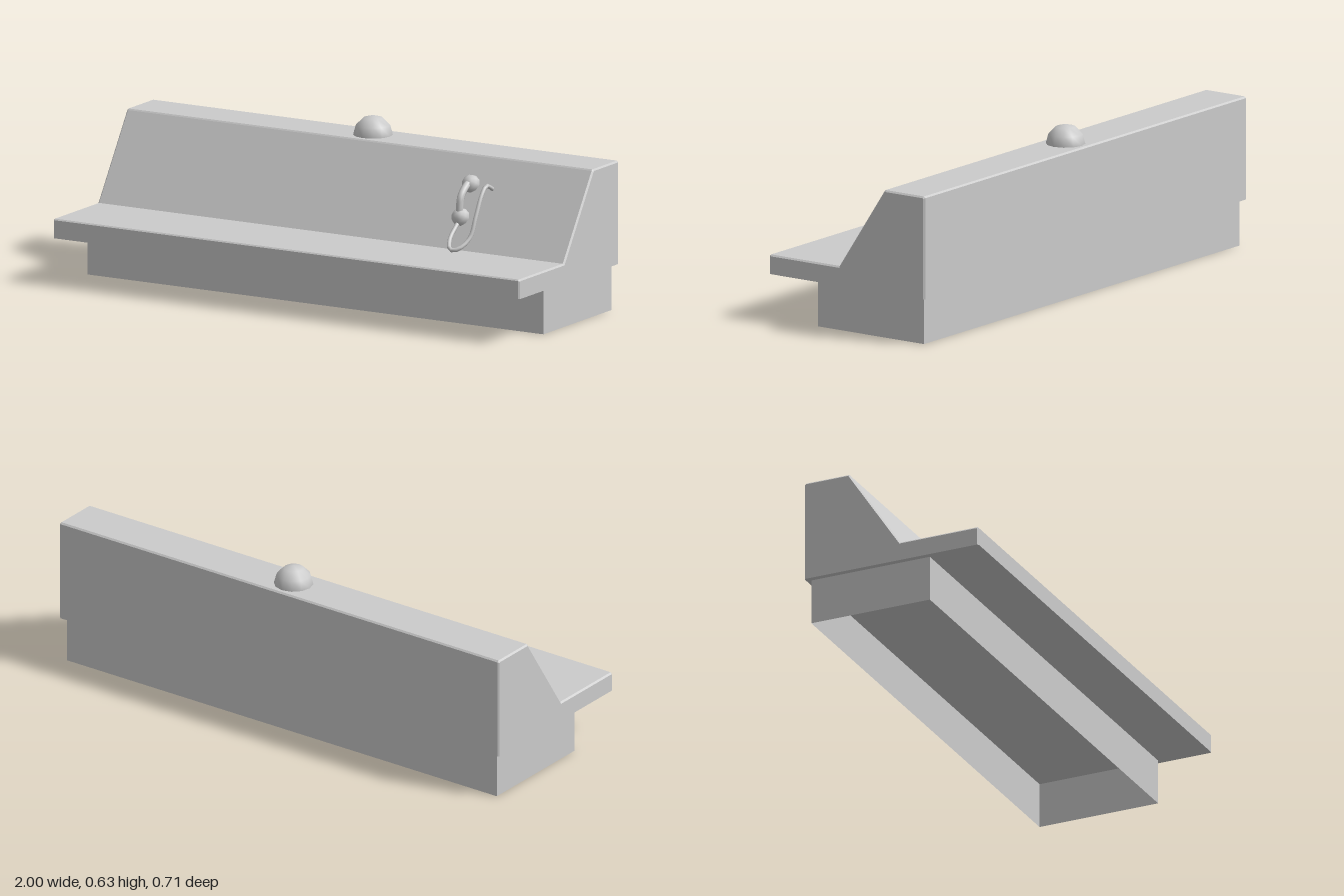
import * as THREE from 'three';

const material = new THREE.MeshStandardMaterial({ color: 0xcccccc });
const thin = new THREE.MeshStandardMaterial({ color: 0xcccccc, side: THREE.DoubleSide });

function add(parent, name, geometry, mat = material) {
  const mesh = new THREE.Mesh(geometry, mat);
  mesh.name = name;
  parent.add(mesh);
  return mesh;
}

const tube = (points, radius, steps) => new THREE.TubeGeometry(
  new THREE.CatmullRomCurve3(points.map(p => new THREE.Vector3(...p))), steps, radius, 8);

const halfSphere = (radius, sides) =>
  new THREE.SphereGeometry(radius, sides, 3, 0, Math.PI * 2, 0, Math.PI / 2);

// Desk cross-section extruded along x, with chamfered ends and a flat bottom
function consoleGeometry() {
  const bevel = 0.006, bottom = 0.173;
  const profile = [
    [0.353, bottom], [0.353, 0.241], [0.348, 0.246], [0.036, 0.246], [-0.168, 0.556],
    [-0.173, 0.561], [-0.347, 0.561], [-0.353, 0.555], [-0.353, bottom],
  ];
  const shape = new THREE.Shape(profile.map(([z, y]) => new THREE.Vector2(-z, y)));
  const geometry = new THREE.ExtrudeGeometry(shape, {
    depth: 2 - 2 * bevel, bevelEnabled: true, bevelSegments: 1,
    bevelSize: bevel, bevelThickness: bevel, bevelOffset: -bevel,
  });
  geometry.translate(0, 0, bevel - 1).rotateY(Math.PI / 2);
  const pos = geometry.attributes.position;
  for (let i = 0; i < pos.count; i++) if (pos.getY(i) < bottom + 0.012) pos.setY(i, bottom);
  geometry.computeVertexNormals();
  return geometry;
}

export function createModel() {
  const model = new THREE.Group();
  model.name = 'controlConsole';

  add(model, 'consoleBody', consoleGeometry());

  // Plinth: four thin walls, open underneath
  const plinth = new THREE.Group();
  plinth.name = 'plinth';
  model.add(plinth);
  const width = 1.956, height = 0.173, front = 0.146, back = -0.335;
  const middle = (front + back) / 2;
  for (const side of [1, -1]) {
    const long = add(plinth, side > 0 ? 'frontWall' : 'backWall', new THREE.PlaneGeometry(width, height), thin);
    long.position.set(0, height / 2, side > 0 ? front : back);
    if (side < 0) long.rotation.y = Math.PI;
    const end = add(plinth, side > 0 ? 'leftWall' : 'rightWall', new THREE.PlaneGeometry(front - back, height), thin);
    end.position.set(side * width / 2, height / 2, middle);
    end.rotation.y = side * Math.PI / 2;
  }

  // Dome lamp on the top ledge
  add(model, 'domeLamp', halfSphere(0.073, 12)).position.set(0, 0.561, -0.262);

  // Handset resting just off the sloping panel
  const handset = new THREE.Group();
  handset.name = 'handset';
  model.add(handset);
  const x = 0.52;
  const up = new THREE.Vector3(0, 1, 0);
  const panelNormal = new THREE.Vector3(0, 0.548, 0.836).normalize();
  for (const [name, y, z] of [['earpiece', 0.466, -0.098], ['mouthpiece', 0.355, -0.025]]) {
    const cup = add(handset, name, halfSphere(0.035, 10), thin);
    cup.position.set(x, y, z);
    cup.quaternion.setFromUnitVectors(up, panelNormal);
  }
  add(handset, 'grip', tube([
    [x, 0.36, -0.016], [x, 0.395, -0.017], [x, 0.43, -0.025],
    [x, 0.457, -0.05], [x, 0.474, -0.08],
  ], 0.014, 8));

  // Cord hanging from the panel and looping back to the mouthpiece
  add(model, 'cord', tube([
    [0.61, 0.457, -0.1], [0.61, 0.476, -0.058], [0.61, 0.45, -0.026], [0.609, 0.37, 0.018],
    [0.603, 0.3, 0.048], [0.578, 0.263, 0.09], [0.55, 0.259, 0.098],
    [0.525, 0.287, 0.062], [0.52, 0.338, -0.005],
  ], 0.008, 24), thin);

  return model;
}
